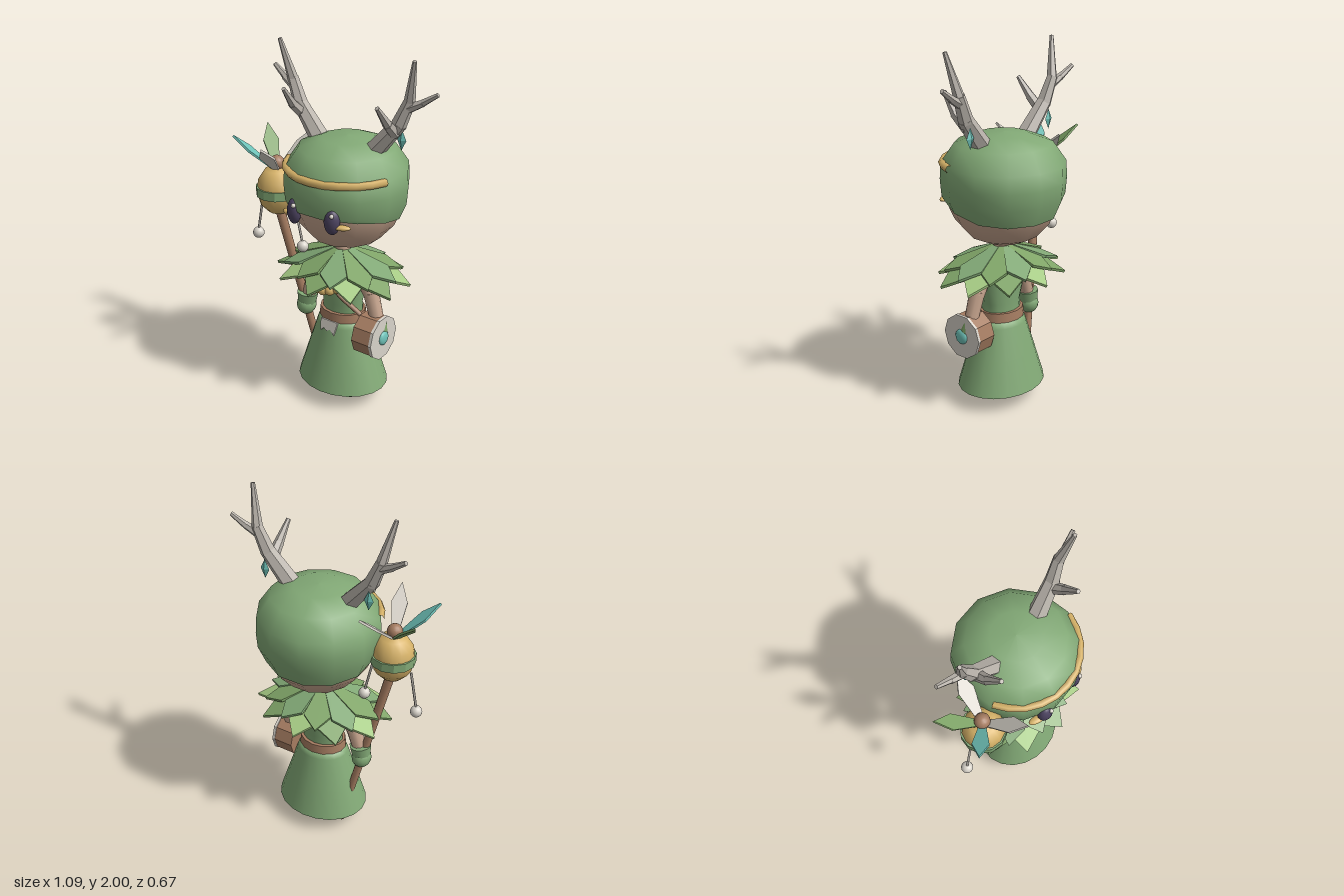
import * as THREE from 'three';

const paint = (name, color) => {
  const m = new THREE.MeshStandardMaterial({ color });
  m.name = name;
  return m;
};
const V = (x, y, z) => new THREE.Vector3(x, y, z);

export function createModel() {
  const skin = paint('skin', 0xc8a68f), green = paint('cloth green', 0x82a976);
  const leafGreen = paint('leaf green', 0x80a568), lightGreen = paint('light leaf', 0xa6cb84);
  const wood = paint('wood', 0xa57c61), gold = paint('gold', 0xd6b268);
  const cyan = paint('turquoise', 0x70c4ba), white = paint('off white', 0xd8d3ca);
  const horn = paint('horn', 0xbab4ac), dark = paint('dark violet', 0x4c4360);
  green.side = THREE.DoubleSide;

  const model = new THREE.Group();
  model.name = 'forestSpirit';
  const CX = 0.03, CZ = 0.025;

  const add = (name, geo, mat, x = 0, y = 0, z = 0) => {
    const m = new THREE.Mesh(geo, mat);
    m.name = name;
    m.position.set(x, y, z);
    model.add(m);
    return m;
  };
  const flat = (g) => {
    const f = g.index ? g.toNonIndexed() : g;
    f.computeVertexNormals();
    return f;
  };
  const ball = (name, mat, p, rx, ry = rx, rz = rx) =>
    add(name, new THREE.SphereGeometry(1, 14, 10).scale(rx, ry, rz), mat, p.x, p.y, p.z);
  const lathe = (pts, seg) =>
    new THREE.LatheGeometry(pts.map(([r, y]) => new THREE.Vector2(r, y)), seg);

  // Tapered rod between two points
  const rod = (name, mat, a, b, r1, r2, sides = 8, faceted = false) => {
    const d = b.clone().sub(a);
    let g = new THREE.CylinderGeometry(r2, r1, d.length(), sides);
    if (faceted) g = flat(g);
    const m = add(name, g, mat, (a.x + b.x) / 2, (a.y + b.y) / 2, (a.z + b.z) / 2);
    m.quaternion.setFromUnitVectors(V(0, 1, 0), d.normalize());
    return m;
  };

  // Pointed plate from a to b, its face turned upwards
  const leaf = (name, mat, a, b, w, base, widest, t = 0.015) => {
    const d = b.clone().sub(a), L = d.length();
    const s = new THREE.Shape([[-base, 0], [base, 0], [w, L * widest], [0, L], [-w, L * widest]]
      .map(([x, y]) => new THREE.Vector2(x, y)));
    const g = new THREE.ExtrudeGeometry(s, { depth: t, bevelEnabled: false });
    const Y = d.normalize(), X = Y.clone().cross(V(0, 1, 0)).normalize();
    g.applyMatrix4(new THREE.Matrix4().makeBasis(X, Y, X.clone().cross(Y)));
    return add(name, g, mat, a.x, a.y, a.z);
  };

  // Head
  const HX = 0.037;
  add('head', lathe([[0, 0.948], [0.1, 0.953], [0.19, 0.995], [0.265, 1.08], [0.312, 1.19], [0.312, 1.28]], 12)
    .rotateY(Math.PI / 12), skin, HX);
  // Cap, its rim higher at the face than at the nape
  const cap = lathe([[0.288, 1.11], [0.33, 1.21], [0.337, 1.3], [0.332, 1.39], [0.26, 1.493], [0.135, 1.54], [0, 1.55]], 12);
  cap.rotateY(Math.PI / 12);
  const p = cap.attributes.position;
  for (let i = 0; i < p.count; i++) {
    if (p.getY(i) > 1.12) continue;
    const t = THREE.MathUtils.clamp((p.getZ(i) + 0.12) / 0.38, 0, 1), k = 1 + t * 0.13;
    p.setXYZ(i, p.getX(i) * k, 1.11 + 0.09 * t, p.getZ(i) * k);
  }
  add('cap', cap, green, HX);

  // Headband across the brow
  const band = new THREE.TorusGeometry(0.323, 0.021, 6, 10, Math.PI * 0.8);
  band.rotateZ(Math.PI * 0.1).rotateX(Math.PI / 2);
  add('headband', band, gold, HX, 1.39, 0.0);

  // Face
  for (const s of [-1, 1]) {
    const e = ball('eye', dark, V(HX - 0.006 + s * 0.121, 1.193, 0.292), 0.043, 0.07, 0.035);
    e.rotation.y = s * 0.3;
    ball('eyeGlint', white, V(HX - 0.006 + s * 0.121 + 0.016, 1.235, 0.318), 0.012);
    const c = ball('cheekMark', gold, V(HX - 0.005 + s * 0.17, 1.168, 0.278), 0.048, 0.014, 0.022);
    c.rotation.y = s * 0.4;
  }

  // Antlers with a hanging charm each
  for (const s of [-1, 1]) {
    const A = (x, y, z) => V(CX + s * x, y, z);
    const branch = (a, b, r1, r2) => rod('antler', horn, a, b, r1, r2, 6, true);
    branch(A(0.15, 1.47, 0.0), A(0.315, 1.665, -0.015), 0.055, 0.04);
    branch(A(0.305, 1.65, -0.015), A(0.365, 1.79, -0.025), 0.041, 0.03);
    branch(A(0.36, 1.775, -0.025), A(0.41, 2.0, 0.02), 0.03, 0.011);
    branch(A(0.35, 1.745, -0.02), A(0.43, 1.785, -0.035), 0.027, 0.02);
    branch(A(0.42, 1.78, -0.035), A(0.505, 1.835, -0.05), 0.02, 0.012);
    branch(A(0.29, 1.61, -0.01), A(0.295, 1.68, 0.07), 0.032, 0.027);
    branch(A(0.295, 1.67, 0.06), A(0.287, 1.78, 0.15), 0.027, 0.012);
    add('antlerCharm', flat(new THREE.OctahedronGeometry(1).scale(0.027, 0.055, 0.012)), cyan,
      CX + s * 0.31, 1.57, -0.045);
  }

  // Neck, torso, belt and skirt
  rod('neck', skin, V(CX, 0.84, CZ), V(CX, 0.98, CZ), 0.045, 0.04, 10);
  add('torso', lathe([[0.125, 0.49], [0.118, 0.6], [0.145, 0.72], [0.135, 0.8], [0.05, 0.88]], 14)
    .scale(1, 1, 0.78), green, CX, 0, CZ);
  add('belt', new THREE.CylinderGeometry(0.133, 0.139, 0.052, 14).scale(1, 1, 0.85), wood, CX, 0.53, CZ);
  add('skirt', lathe([[0.267, 0.105], [0.205, 0.3], [0.15, 0.47], [0.138, 0.5], [0.1, 0.505]], 20)
    .scale(1, 1, 0.845), green, CX, 0, CZ);
  const rag = new THREE.Shape([[-0.058, 0], [-0.05, -0.07], [-0.03, -0.05], [-0.01, -0.065], [0.012, -0.05],
    [0.04, -0.078], [0.055, 0]].map(([x, y]) => new THREE.Vector2(x, y)));
  add('waistCloth', new THREE.ExtrudeGeometry(rag, { depth: 0.012, bevelEnabled: false }).rotateX(-0.22),
    white, CX - 0.005, 0.508, CZ + 0.112);

  // Legs and boots
  for (const s of [-1, 1]) {
    const x = CX + s * 0.083;
    rod('leg', skin, V(x, 0.14, 0.045), V(x - s * 0.02, 0.45, CZ), 0.04, 0.045, 8);
    ball('boot', green, V(x, 0.08, 0.06), 0.074, 0.07, 0.085);
    rod('bootCuff', green, V(x, 0.08, 0.045), V(x, 0.18, 0.04), 0.062, 0.058, 10);
  }

  // Arms and the mitten that holds the staff
  for (const s of [-1, 1]) {
    rod('upperArm', skin, V(CX + s * 0.12, 0.81, 0.03), V(CX + s * 0.195, 0.68, 0.03), 0.045, 0.043, 10);
    rod('forearm', skin, V(CX + s * 0.19, 0.7, 0.03), V(CX + s * 0.24, 0.53, 0.035), 0.044, 0.038, 10);
  }
  ball('mitten', green, V(-0.22, 0.49, 0.035), 0.056, 0.062, 0.06);
  rod('mittenCuff', green, V(-0.22, 0.49, 0.035), V(-0.21, 0.572, 0.035), 0.05, 0.062, 10);

  // Leaf collar over a pale lining, with a bead necklace below
  add('collarLining', new THREE.CylinderGeometry(0.06, 0.2, 0.09, 14).scale(1, 1, 0.85), white, CX, 0.83, CZ);
  for (let i = 0; i < 10; i++) {
    const ring = (ang, r, y) => V(CX - 0.005 + Math.cos(ang) * r, y, CZ + Math.sin(ang) * r * 0.79);
    const a = (i + 0.5) * Math.PI / 5, b = i * Math.PI / 5;
    leaf('collarLeaf', i % 2 ? lightGreen : leafGreen, ring(a, 0.05, 0.895), ring(a, 0.395, 0.745), 0.085, 0.02, 0.66);
    leaf('collarUpperLeaf', i % 2 ? leafGreen : green, ring(b, 0.045, 0.905), ring(b, 0.345, 0.795), 0.075, 0.02, 0.66);
  }
  for (let i = 0; i < 8; i++) {
    const t = (i - 3.5) / 3.5;
    ball('necklaceBead', gold, V(CX - 0.015 + t * 0.13, 0.735 + t * t * 0.035, 0.215 - t * t * 0.06), 0.03);
  }

  // Side drum on a strap
  const strap = new THREE.CatmullRomCurve3([V(-0.07, 0.83, 0.07), V(0.05, 0.72, 0.14), V(0.2, 0.585, 0.1)]);
  add('strap', new THREE.TubeGeometry(strap, 10, 0.014, 6), wood);
  const disc = (name, mat, r, x0, x1) =>
    add(name, flat(new THREE.CylinderGeometry(r, r, x1 - x0, 10).rotateZ(Math.PI / 2)), mat, (x0 + x1) / 2, 0.46, 0.055);
  disc('drumBody', wood, 0.122, 0.193, 0.308);
  disc('drumHead', white, 0.126, 0.306, 0.322);
  ball('drumGem', cyan, V(0.322, 0.46, 0.055), 0.018, 0.042, 0.042);
  const tuft = add('drumLeaf', flat(new THREE.ConeGeometry(0.022, 0.07, 4).scale(0.3, 1, 1)), leafGreen, 0.325, 0.52, 0.035);
  tuft.rotation.x = -0.2;

  // Staff with gourd, band and finial
  const GX = -0.355, GZ = 0.1;
  rod('staff', wood, V(-0.12, 0.012, -0.018), V(GX, 1.1, GZ), 0.021, 0.027, 8);
  add('gourd', lathe([[0, 1.05], [0.055, 1.062], [0.1, 1.11], [0.117, 1.18], [0.106, 1.25], [0.07, 1.305], [0, 1.325]], 14),
    gold, GX, 0, GZ);
  add('gourdBand', flat(new THREE.CylinderGeometry(0.122, 0.122, 0.05, 12)), green, GX, 1.185, GZ);
  ball('finial', wood, V(GX - 0.003, 1.342, GZ), 0.042);

  // Plumes around the finial
  const plumes = [[cyan, -0.19, 0.14], [leafGreen, -0.19, -0.15], [white, 0.083, 0.23], [white, 0.083, -0.23]];
  for (const [mat, dx, dz] of plumes) {
    leaf('plume', mat, V(GX + dx * 0.12, 1.31, GZ + dz * 0.12), V(GX + dx, 1.49, GZ + dz), 0.043, 0.018, 0.6, 0.012);
  }

  // Hanging pendants
  for (const [x0, x1] of [[-0.465, -0.508], [-0.24, -0.19]]) {
    rod('pendantCord', horn, V(x0, 1.12, GZ), V(x1, 0.9, GZ), 0.007, 0.007, 6);
    ball('pendant', white, V(x1, 0.887, GZ), 0.033);
  }

  return model;
}
